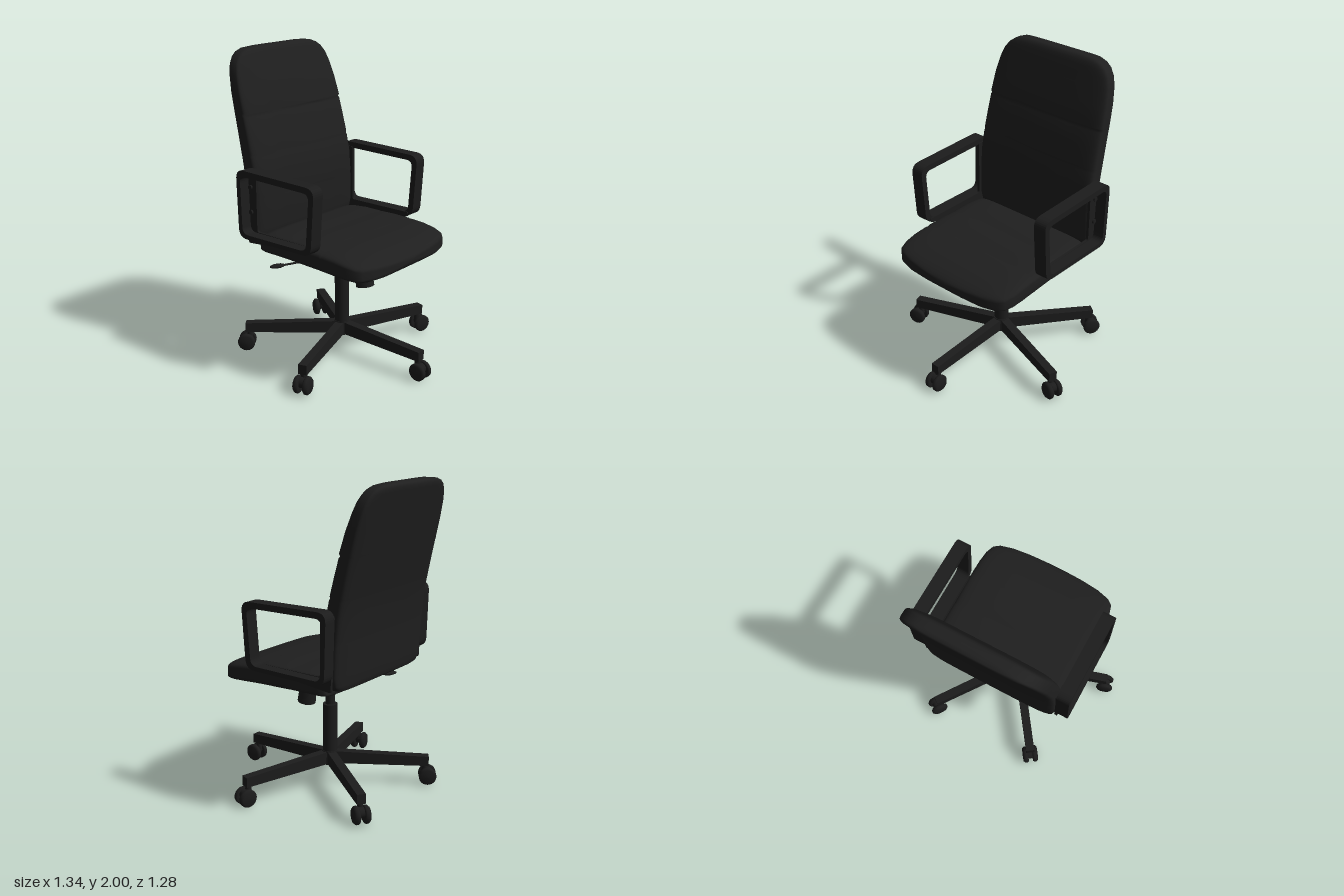
import * as THREE from 'three';

const fabric = new THREE.MeshStandardMaterial({ color: 0x1f1f1f });
fabric.name = 'black upholstery';
const plastic = new THREE.MeshStandardMaterial({ color: 0x1c1c1c });
plastic.name = 'black plastic';

function add(parent, name, geo, mat, x = 0, y = 0, z = 0) {
  const m = new THREE.Mesh(geo, mat);
  m.name = name;
  m.position.set(x, y, z);
  parent.add(m);
  return m;
}

// Smooth skin through superellipse sections; place(section, u, v) gives a point, u and v in -1..1
function loft(sections, power, place, n = 56) {
  const pos = [], idx = [];
  const soft = t => Math.sign(t) * Math.pow(Math.abs(t), power);
  for (const s of sections) {
    for (let j = 0; j < n; j++) {
      const a = j / n * Math.PI * 2;
      pos.push(...place(s, soft(Math.cos(a)), soft(Math.sin(a))));
    }
  }
  const last = sections.length - 1;
  for (let i = 0; i < last; i++) {
    for (let j = 0; j < n; j++) {
      const a = i * n + j, b = i * n + (j + 1) % n;
      idx.push(a, b, a + n, b, b + n, a + n);
    }
  }
  const c0 = pos.length / 3;
  pos.push(...place(sections[0], 0, 0), ...place(sections[last], 0, 0));
  for (let j = 0; j < n; j++) {
    const k = (j + 1) % n;
    idx.push(c0, k, j, c0 + 1, last * n + j, last * n + k);
  }
  const g = new THREE.BufferGeometry();
  g.setAttribute('position', new THREE.Float32BufferAttribute(pos, 3));
  g.setIndex(idx);
  g.computeVertexNormals();
  return g;
}

// Polygon with rounded corners
function rounded(path, pts, r) {
  const v = pts.map(p => new THREE.Vector2(...p));
  v.forEach((p, i) => {
    const toward = q => p.clone().add(q.clone().sub(p).setLength(r));
    const a = toward(v[(i + v.length - 1) % v.length]), b = toward(v[(i + 1) % v.length]);
    if (i) path.lineTo(a.x, a.y); else path.moveTo(a.x, a.y);
    path.quadraticCurveTo(p.x, p.y, b.x, b.y);
  });
  path.closePath();
  return path;
}

// Side profile (z, y) extruded across x, ending at x = 0 on its right face
function sideExtrude(shape, width) {
  const g = new THREE.ExtrudeGeometry(shape, { depth: width, bevelEnabled: false, curveSegments: 8 });
  return g.rotateY(-Math.PI / 2).translate(width, 0, 0);
}

function makeSeat() {
  // z, half width, top, bottom
  const sections = [
    [-0.345, 0.43, 0.86, 0.76], [-0.335, 0.45, 0.875, 0.75], [-0.3, 0.46, 0.88, 0.748],
    [-0.2, 0.462, 0.888, 0.746], [-0.085, 0.463, 0.886, 0.744], [-0.07, 0.463, 0.88, 0.743],
    [-0.055, 0.463, 0.886, 0.742], [0.05, 0.465, 0.887, 0.738], [0.155, 0.467, 0.882, 0.735],
    [0.17, 0.467, 0.875, 0.734], [0.185, 0.467, 0.88, 0.733], [0.28, 0.467, 0.872, 0.727],
    [0.36, 0.462, 0.857, 0.722], [0.42, 0.445, 0.84, 0.72], [0.45, 0.41, 0.828, 0.722],
    [0.475, 0.33, 0.815, 0.728], [0.49, 0.22, 0.802, 0.738], [0.498, 0.1, 0.79, 0.755]
  ];
  return loft(sections, 0.38, ([z, w, t, b], u, v) => [u * w, (t + b) / 2 + v * (t - b) / 2, z]);
}

function makeBackrest() {
  // y, half width, front z, back z
  const sections = [
    [0.8, 0.37, -0.37, -0.43], [0.81, 0.42, -0.355, -0.438], [0.84, 0.448, -0.338, -0.443],
    [0.9, 0.459, -0.33, -0.447], [1.08, 0.461, -0.328, -0.46], [1.095, 0.461, -0.334, -0.461],
    [1.11, 0.461, -0.328, -0.462], [1.25, 0.46, -0.337, -0.477], [1.35, 0.459, -0.358, -0.494],
    [1.363, 0.459, -0.366, -0.497], [1.376, 0.459, -0.363, -0.5], [1.5, 0.456, -0.395, -0.526],
    [1.598, 0.453, -0.422, -0.548], [1.61, 0.452, -0.434, -0.551], [1.622, 0.453, -0.423, -0.554],
    [1.75, 0.446, -0.462, -0.584], [1.85, 0.43, -0.495, -0.608], [1.91, 0.41, -0.514, -0.622],
    [1.95, 0.38, -0.527, -0.632], [1.975, 0.345, -0.536, -0.637], [1.992, 0.3, -0.548, -0.632],
    [2.0, 0.22, -0.562, -0.612]
  ];
  return loft(sections, 0.36, ([y, w, f, b], u, v) => [v * w, y, (f + b) / 2 + u * (f - b) / 2]);
}

function makeArmrest(side) {
  const arm = new THREE.Group();
  arm.name = side > 0 ? 'leftArmrest' : 'rightArmrest';
  // Wide closed strap
  const strap = rounded(new THREE.Shape(), [[0.2, 1.285], [-0.432, 1.302], [-0.42, 0.865], [0.17, 0.868]], 0.065);
  strap.holes.push(rounded(new THREE.Path(), [[0.16, 1.248], [-0.4, 1.262], [-0.39, 0.893], [0.132, 0.895]], 0.045));
  add(arm, 'armStrap', sideExtrude(strap, 0.085), plastic, side > 0 ? 0.463 : -0.548);
  // Thin L bracket fixed to seat and backrest
  const bracket = rounded(new THREE.Shape(),
    [[0.14, 0.895], [-0.335, 0.897], [-0.335, 1.27], [-0.43, 1.27], [-0.412, 0.812], [0.13, 0.862]], 0.015);
  add(arm, 'armBracket', sideExtrude(bracket, 0.018), plastic, side > 0 ? 0.457 : -0.475);
  for (const [z, y] of [[-0.38, 1.18], [-0.38, 1.02], [0.035, 0.872], [-0.23, 0.86]]) {
    add(arm, 'bolt', new THREE.CylinderGeometry(0.015, 0.015, 0.012, 14).rotateZ(Math.PI / 2), plastic, side * 0.48, y, z);
  }
  return arm;
}

function makeLeg() {
  const leg = new THREE.Group();
  leg.name = 'leg';
  // Tapered arm of the star base
  const profile = new THREE.Shape([[0, 0.145], [0.64, 0.13], [0.64, 0.193], [0, 0.228]].map(p => new THREE.Vector2(...p)));
  add(leg, 'baseArm', sideExtrude(profile, 0.056), plastic, -0.028);
  // Twin wheel caster
  const caster = new THREE.Group();
  caster.name = 'caster';
  caster.position.set(0, 0.06, 0.635);
  for (const s of [-1, 1]) {
    const tyre = [[0, -0.018], [0.05, -0.018], [0.057, -0.01], [0.057, 0.006], [0.045, 0.018], [0, 0.02]];
    const g = new THREE.LatheGeometry(tyre.map(p => new THREE.Vector2(...p)), 24).rotateZ(-s * Math.PI / 2);
    add(caster, 'wheel', g, plastic, s * 0.033);
  }
  add(caster, 'hub', new THREE.CylinderGeometry(0.035, 0.035, 0.05, 16).rotateZ(Math.PI / 2), plastic, 0, 0.015, 0);
  add(caster, 'stem', new THREE.CylinderGeometry(0.018, 0.02, 0.06, 14), plastic, 0, 0.05, -0.02);
  leg.add(caster);
  return leg;
}

export function createModel() {
  const chair = new THREE.Group();
  chair.name = 'officeChair';
  add(chair, 'seat', makeSeat(), fabric);
  add(chair, 'backrest', makeBackrest(), fabric);
  chair.add(makeArmrest(1), makeArmrest(-1));

  // Five legged base
  const base = new THREE.Group();
  base.name = 'base';
  base.position.z = -0.05;
  for (let i = 0; i < 5; i++) {
    const leg = makeLeg();
    leg.rotation.y = i * Math.PI * 2 / 5;
    base.add(leg);
  }
  add(base, 'hubSleeve', new THREE.CylinderGeometry(0.052, 0.055, 0.09, 28), plastic, 0, 0.185);
  add(base, 'column', new THREE.CylinderGeometry(0.047, 0.047, 0.36, 28), plastic, 0, 0.365);
  add(base, 'gasLift', new THREE.CylinderGeometry(0.03, 0.03, 0.14, 20), plastic, 0, 0.59);
  add(base, 'liftCollar', new THREE.CylinderGeometry(0.055, 0.04, 0.05, 20), plastic, 0, 0.635);
  chair.add(base);

  // Tilt mechanism under the seat
  const tilt = new THREE.Group();
  tilt.name = 'tiltMechanism';
  const body = new THREE.Shape([[0.18, 0.715], [-0.16, 0.715], [-0.15, 0.69], [-0.09, 0.645], [0.04, 0.645], [0.17, 0.665]]
    .map(p => new THREE.Vector2(...p)));
  add(tilt, 'mechanismBody', sideExtrude(body, 0.19), plastic, -0.095);
  for (const z of [0.13, -0.13]) {
    add(tilt, 'mountingBar', new THREE.BoxGeometry(0.35, 0.035, 0.07), plastic, 0, 0.722, z);
  }
  const knob = add(tilt, 'tensionKnob', new THREE.CylinderGeometry(0.055, 0.06, 0.105, 12), plastic, 0, 0.57, 0.135);
  knob.rotation.x = -0.15;
  add(tilt, 'knobShaft', new THREE.CylinderGeometry(0.035, 0.035, 0.06, 16), plastic, 0, 0.64, 0.125);
  const rod = new THREE.CatmullRomCurve3([[-0.05, 0.69, -0.08], [-0.2, 0.682, -0.14], [-0.39, 0.68, -0.22]]
    .map(p => new THREE.Vector3(...p)));
  add(tilt, 'leverRod', new THREE.TubeGeometry(rod, 12, 0.007, 8), plastic);
  const paddle = add(tilt, 'leverPaddle', new THREE.SphereGeometry(1, 18, 12).scale(0.052, 0.013, 0.026), plastic, -0.41, 0.68, -0.232);
  paddle.rotation.y = -0.4;
  chair.add(tilt);
  return chair;
}
